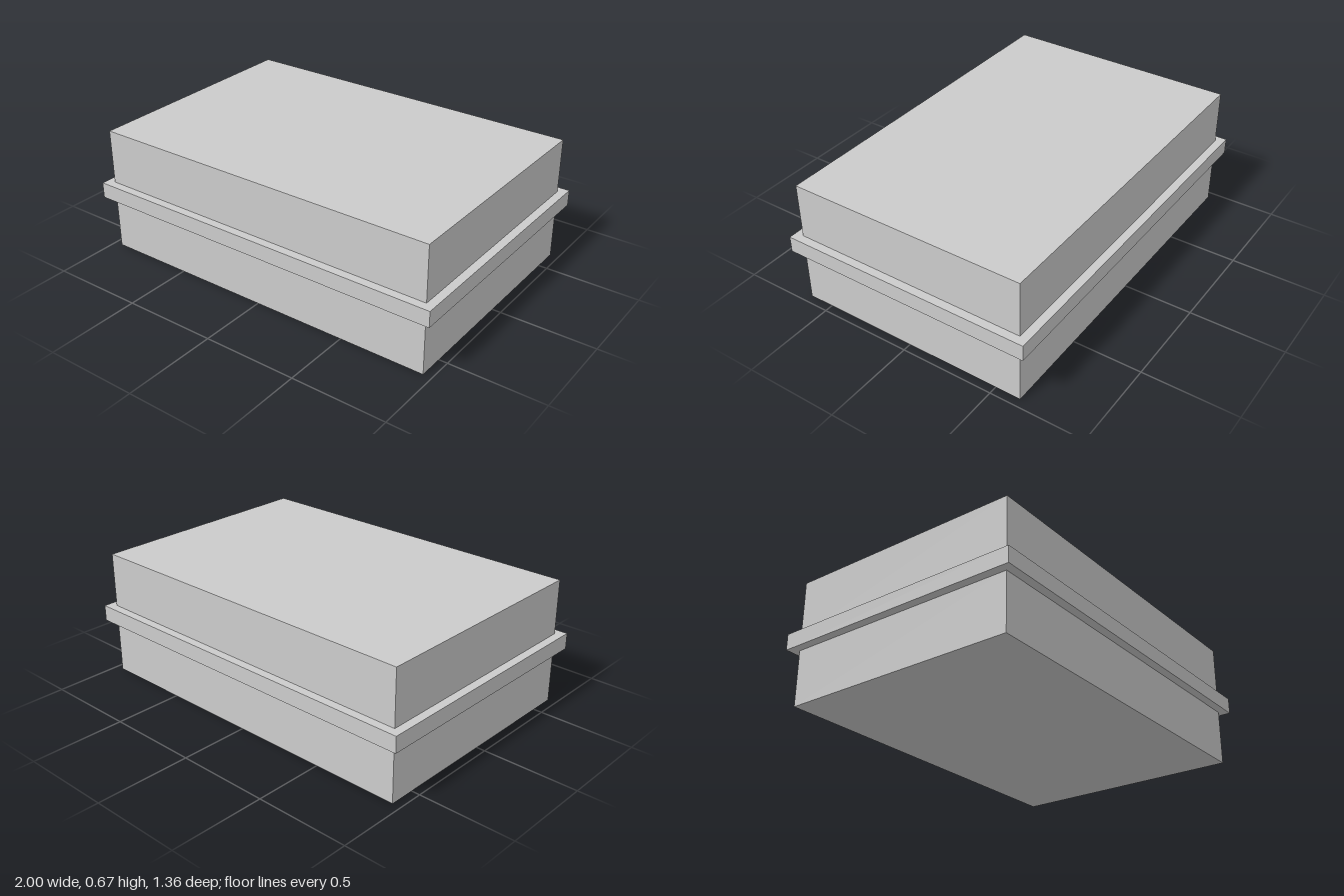
import * as THREE from 'three';

export function createModel() {
  const model = new THREE.Group();
  const material = new THREE.MeshStandardMaterial({ color: 0xcccccc });

  // Box spanning the heights y0 to y1, centred on x and z
  function slab(name, width, depth, y0, y1) {
    const mesh = new THREE.Mesh(new THREE.BoxGeometry(width, y1 - y0, depth), material);
    mesh.name = name;
    mesh.position.y = (y0 + y1) / 2;
    model.add(mesh);
  }

  const rimBottom = 0.295;
  const rimTop = 0.38;

  slab('lowerBody', 1.91, 1.27, 0, rimBottom);
  slab('rim', 2, 1.36, rimBottom, rimTop); // protruding band around the middle
  slab('upperBody', 1.91, 1.27, rimTop, 0.672);

  return model;
}
